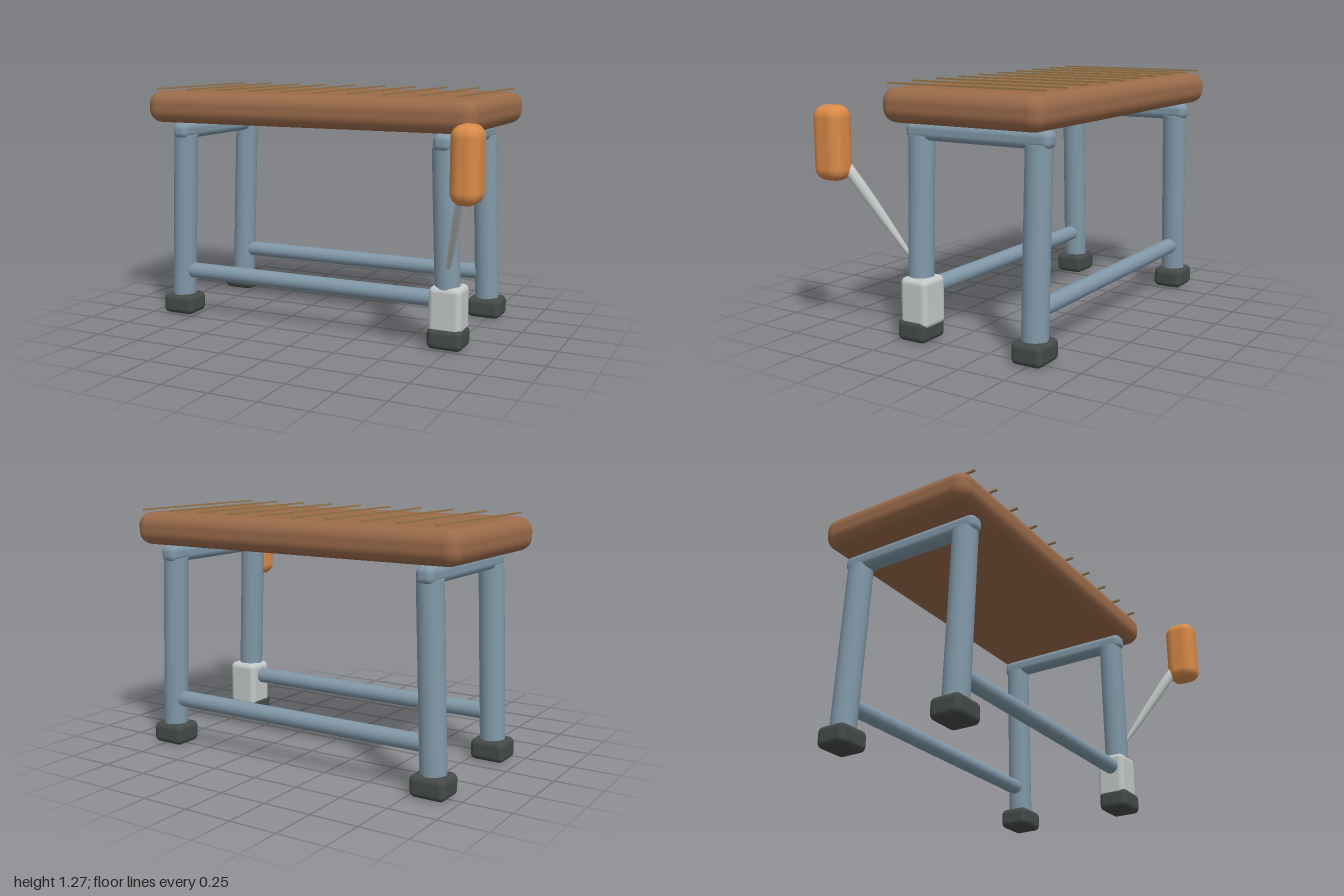
import * as THREE from 'three';
import { RoundedBoxGeometry } from 'three/addons/geometries/RoundedBoxGeometry.js';

const material = (name, color) => {
  const m = new THREE.MeshStandardMaterial({ color });
  m.name = name;
  return m;
};

export function createModel() {
  const wood = material('brown wood', 0x9b6b4b);
  const grain = material('tan groove', 0x9a784a);
  const steel = material('blue grey steel', 0x8198a8);
  const rubber = material('dark rubber', 0x454a49);
  const silver = material('light grey metal', 0xc3c9c8);
  const orange = material('orange grip', 0xd98a48);

  const model = new THREE.Group();
  model.name = 'crankTable';

  const add = (name, geometry, mat) => {
    const mesh = new THREE.Mesh(geometry, mat);
    mesh.name = name;
    model.add(mesh);
    return mesh;
  };

  // Rounded block given by its lower and upper corners
  const block = (name, mat, min, max, radius) => {
    const size = max.map((v, i) => v - min[i]);
    const mesh = add(name, new RoundedBoxGeometry(...size, 4, radius), mat);
    mesh.position.set(...max.map((v, i) => (v + min[i]) / 2));
    return mesh;
  };

  // Turns a y-aligned mesh so that it runs from a to b
  const align = (mesh, a, b) => {
    const dir = b.clone().sub(a).normalize();
    mesh.quaternion.setFromUnitVectors(new THREE.Vector3(0, 1, 0), dir);
    mesh.position.copy(a).add(b).multiplyScalar(0.5);
    return mesh;
  };
  const rod = (name, mat, a, b, radius) =>
    align(add(name, new THREE.CylinderGeometry(radius, radius, a.distanceTo(b), 24), mat), a, b);
  const vec = (x, y, z) => new THREE.Vector3(x, y, z);

  // Top board with thin slanted lines floating just above it
  block('tabletop', wood, [-1, 1.08, -0.61], [0.88, 1.25, 0.285], 0.07);
  for (let i = 0; i < 10; i++) {
    const line = add('boardLine', new THREE.BoxGeometry(0.011, 0.009, 0.885), grain);
    line.position.set(-0.905 + i * 0.19, 1.265, -0.158);
    line.rotation.y = -0.02;
  }

  // Splayed legs with feet, joined by a rail at each end
  const front = 0.165, back = -0.495;
  for (const [topX, footX] of [[-0.815, -0.85], [0.695, 0.73]]) {
    block('endRail', steel, [topX - 0.046, 0.99, -0.57], [topX + 0.046, 1.08, 0.24], 0.035);
    for (const z of [front, back]) {
      rod('leg', steel, vec(footX, 0.08, z), vec(topX, 1.012, z), 0.065);
      block('foot', rubber, [footX - 0.093, 0, z - 0.083], [footX + 0.093, 0.11, z + 0.083], 0.03);
    }
  }

  // Long stretchers
  for (const z of [front, back]) {
    rod('stretcher', steel, vec(-0.83, 0.245, z), vec(0.71, 0.245, z), 0.043);
  }

  // Gear housing on the crank leg
  block('gearHousing', silver, [0.64, 0.07, 0.075], [0.812, 0.32, 0.235], 0.03);

  // Crank arm, slim at its lower end
  const low = vec(0.742, 0.42, 0.218), high = vec(0.9, 0.87, 0.475);
  const length = low.distanceTo(high);
  const profile = [[0, 0], [0.011, 0], [0.019, 0.25], [0.026, 0.55], [0.028, 0.8], [0.026, 1], [0, 1]]
    .map(([r, t]) => new THREE.Vector2(r, (t - 0.5) * length));
  align(add('crankArm', new THREE.LatheGeometry(profile, 20), silver), low, high);

  // Crank grip
  block('crankGrip', orange, [0.857, 0.793, 0.44], [1, 1.16, 0.612], 0.06);

  return model;
}
